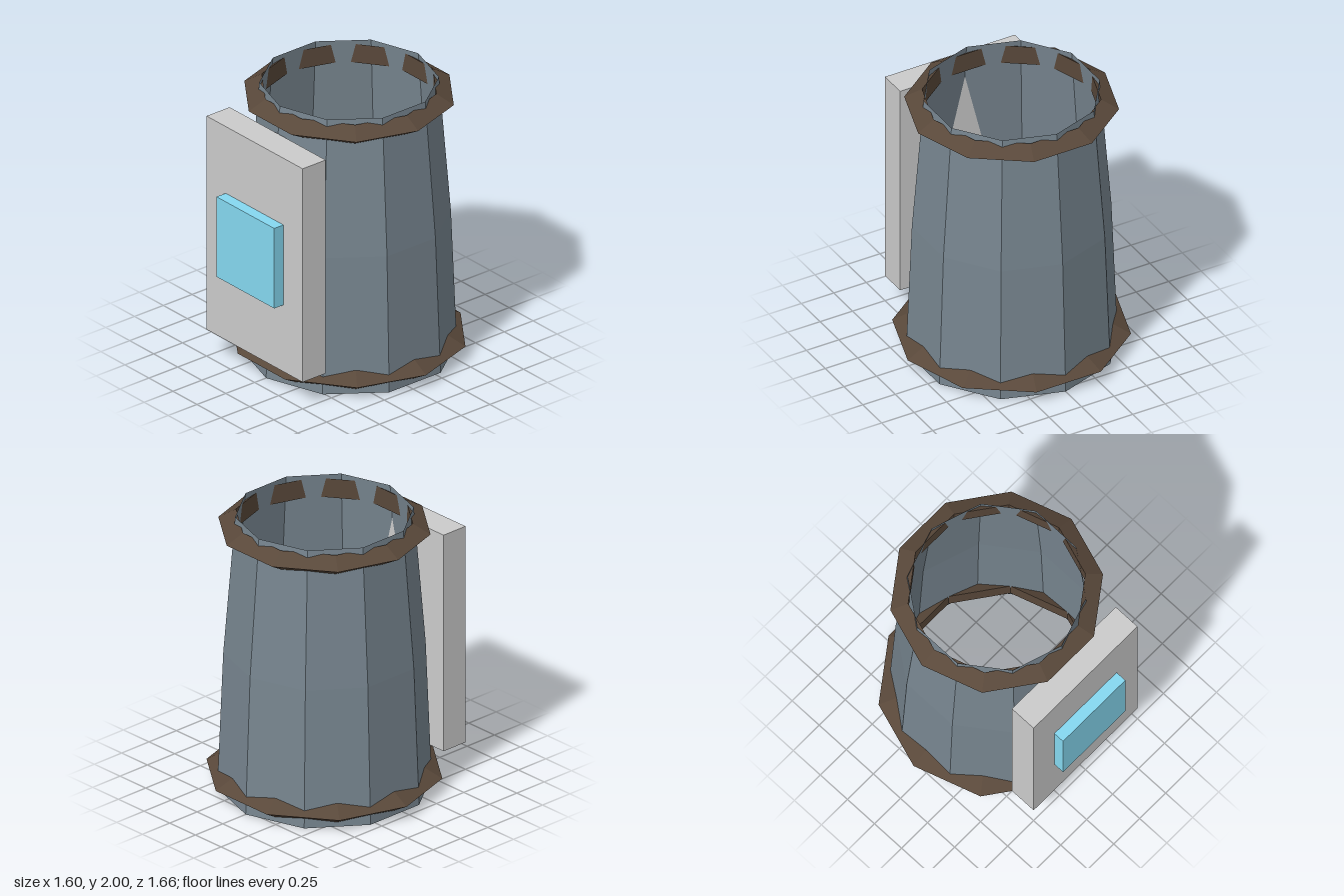
import * as THREE from 'three';

const SIDES = 10;
const AXIS_Z = -0.07; // the tower's axis sits slightly behind the centre

function material(color, side = THREE.FrontSide) {
  return new THREE.MeshStandardMaterial({ color, side, flatShading: true });
}

export function createModel() {
  const model = new THREE.Group();
  model.name = 'tower';

  function add(name, geometry, mat, x, y, z) {
    const mesh = new THREE.Mesh(geometry, mat);
    mesh.name = name;
    mesh.position.set(x, y, z);
    model.add(mesh);
    return mesh;
  }

  // Open, slightly bulging ten-sided wall
  const profile = [[0.72, 0], [0.68, 1], [0.6, 2]].map(([r, y]) => new THREE.Vector2(r, y));
  add('wall', new THREE.LatheGeometry(profile, SIDES),
    material(0x77858f, THREE.DoubleSide), 0, 0, AXIS_Z);

  // Bands with a triangular section, turned half a side against the wall
  const bandMaterial = material(0x59483a);
  for (const [name, radius, y] of [['lowerBand', 0.72, 0.1], ['upperBand', 0.64, 1.9]]) {
    const band = new THREE.TorusGeometry(radius, 0.08, 3, SIDES).rotateX(Math.PI / 2);
    add(name, band, bandMaterial, 0, y, AXIS_Z);
  }

  // Front slab with a square pane
  add('frontPanel', new THREE.BoxGeometry(1, 1.6, 0.2), material(0xcccccc), 0, 1, 0.65);
  add('pane', new THREE.BoxGeometry(0.6, 0.6, 0.1), material(0x85d8f0), 0, 1, 0.78);

  return model;
}
